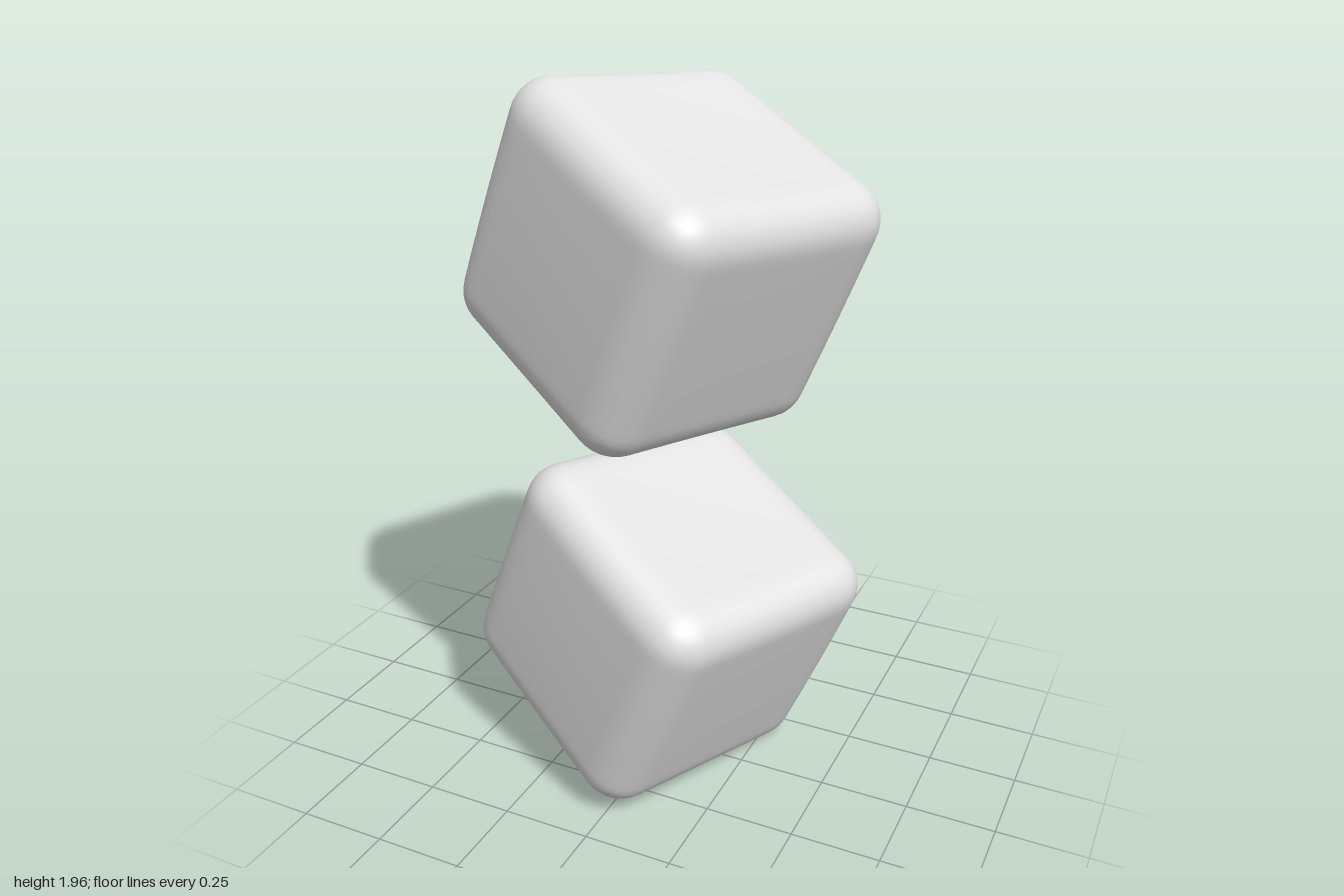
import * as THREE from 'three';
import { mergeVertices } from 'three/addons/utils/BufferGeometryUtils.js';

// Soft cube: rounded edges, each pair of faces swollen or hollowed by its bulge
function softCube(core, radius, bulge, segments = 32) {
  const half = core.clone().addScalar(radius);
  let geo = new THREE.BoxGeometry(half.x * 2, half.y * 2, half.z * 2, segments, segments, segments);
  geo.deleteAttribute('uv');
  geo.deleteAttribute('normal');
  geo = mergeVertices(geo);
  const pos = geo.attributes.position;
  const p = new THREE.Vector3();
  const inner = new THREE.Vector3();
  const low = core.clone().negate();
  for (let i = 0; i < pos.count; i++) {
    p.fromBufferAttribute(pos, i);
    // Round edges and corners
    inner.copy(p).clamp(low, core);
    p.sub(inner).setLength(radius).add(inner);
    // Bulge fades from the middle of a face to its corners
    const [fx, fy, fz] = ['x', 'y', 'z'].map((k) => 1 - 0.6 * (p[k] / half[k]) ** 2);
    p.set(p.x * (1 + bulge.x * fy * fz), p.y * (1 + bulge.y * fx * fz), p.z * (1 + bulge.z * fx * fy));
    pos.setXYZ(i, p.x, p.y, p.z);
  }
  geo.computeVertexNormals();
  return geo;
}

export function createModel() {
  const group = new THREE.Group();
  group.name = 'softCubes';
  const lightGrey = new THREE.MeshStandardMaterial({ color: 0xe2e2e2 });
  lightGrey.name = 'lightGrey';

  // Shared tilt, given by the directions of the cube's own axes
  const u = new THREE.Vector3(0.832, -0.401, 0.385).normalize();
  const v = new THREE.Vector3(0.418, 0.9, 0.123);
  v.addScaledVector(u, -v.dot(u)).normalize();
  const w = new THREE.Vector3().crossVectors(u, v);
  const tilt = new THREE.Matrix4().makeBasis(u, v, w);

  const geo = softCube(new THREE.Vector3(0.256, 0.263, 0.258), 0.113, new THREE.Vector3(0.02, -0.06, 0.04));
  geo.applyMatrix4(tilt);

  // Two identical cubes, one above the other
  [['lowerCube', 0.4825], ['upperCube', 1.5175]].forEach(([name, y]) => {
    const cube = new THREE.Mesh(geo, lightGrey);
    cube.name = name;
    cube.position.y = y;
    group.add(cube);
  });
  return group;
}
